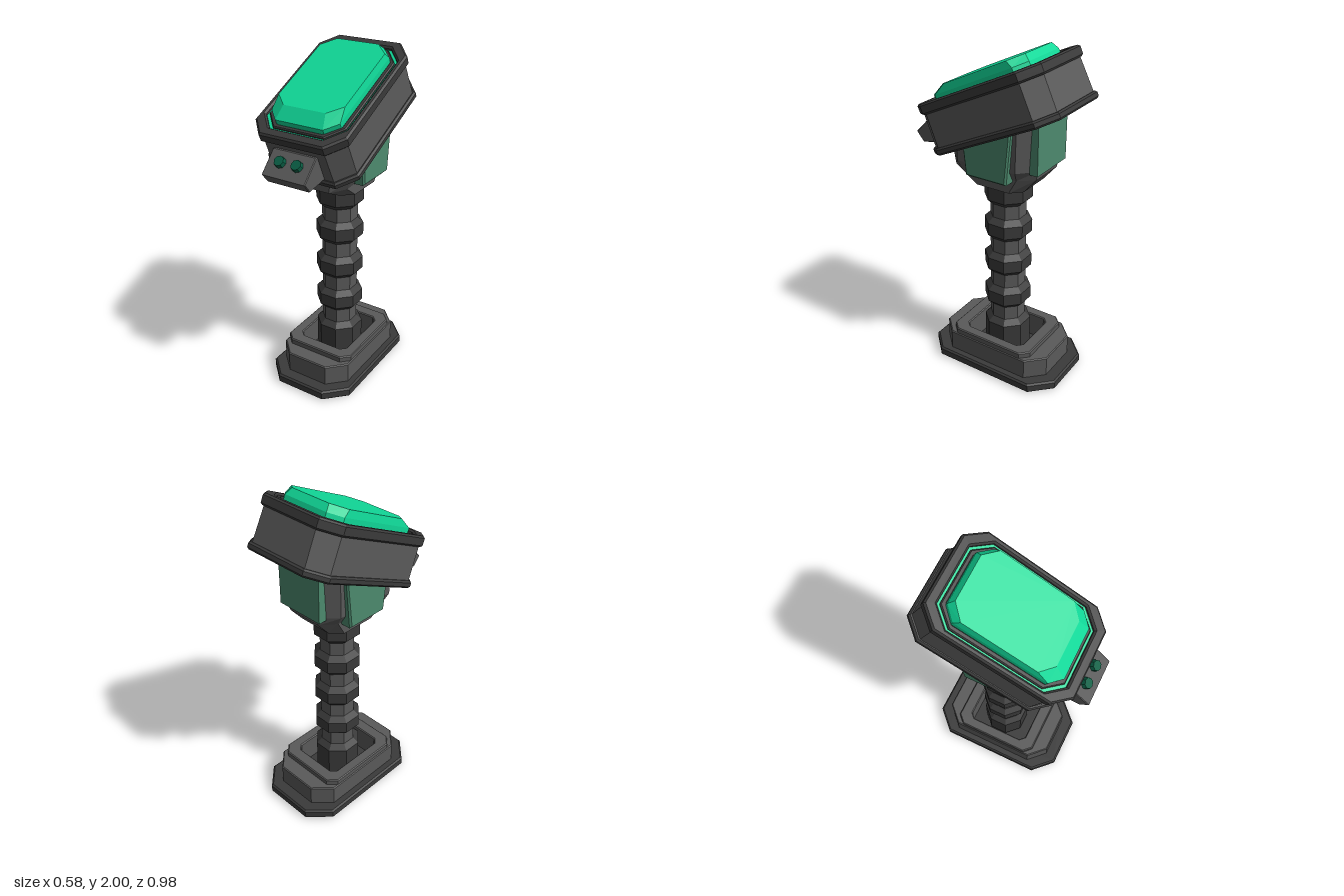
import * as THREE from 'three';

const mat = (color) => new THREE.MeshStandardMaterial({ color, flatShading: true });
const dark = mat(0x3a3a3a), grey = mat(0x5a5a5a), green = mat(0x10d898);
const paleGreen = mat(0x4d8a6e), deepGreen = mat(0x0a5f45);

function add(parent, name, geometry, material) {
  const mesh = new THREE.Mesh(geometry, material);
  mesh.name = name;
  parent.add(mesh);
  return mesh;
}

// Chamfered rectangle as [x, z] pairs, counter-clockwise seen from above
function octagon(hx, zBack, zFront, cx, cz = cx) {
  return [
    [hx, zFront - cz], [hx, zBack + cz], [hx - cx, zBack], [cx - hx, zBack],
    [-hx, zBack + cz], [-hx, zFront - cz], [cx - hx, zFront], [hx - cx, zFront],
  ];
}

// Horizontal slab from y0 to y1, with an optional hole and small bevels
function slab(outer, y0, y1, hole, bevel = 0.01) {
  const toPoints = (o) => o.map(([x, z]) => new THREE.Vector2(x, -z));
  const shape = new THREE.Shape(toPoints(outer));
  if (hole) shape.holes.push(new THREE.Path(toPoints(hole).reverse()));
  const g = new THREE.ExtrudeGeometry(shape, {
    depth: y1 - y0 - 2 * bevel, bevelEnabled: bevel > 0, bevelThickness: bevel,
    bevelSize: bevel, bevelOffset: -bevel, bevelSegments: 1,
  });
  return g.rotateX(-Math.PI / 2).translate(0, y0 + bevel, 0);
}

// Closed solid through octagon sections; each y may be a number or a function of z
function loft(sections) {
  const pos = [], index = [], n = 8;
  for (const [outline, y] of sections) {
    for (const [x, z] of outline) pos.push(x, typeof y === 'function' ? y(z) : y, z);
  }
  for (let s = 0; s < sections.length - 1; s++) {
    for (let i = 0; i < n; i++) {
      const a = s * n + i, b = s * n + (i + 1) % n;
      index.push(a, b, b + n, a, b + n, a + n);
    }
  }
  const top = (sections.length - 1) * n;
  for (let i = 1; i < n - 1; i++) index.push(0, i + 1, i, top, top + i, top + i + 1);
  const g = new THREE.BufferGeometry();
  g.setAttribute('position', new THREE.Float32BufferAttribute(pos, 3));
  g.setIndex(index);
  g.computeVertexNormals();
  return g;
}

// Side profile of [z, y] points, extruded across x and centred on x = 0
function sideProfile(points, width, bevel) {
  const shape = new THREE.Shape(points.map(([z, y]) => new THREE.Vector2(z, y)));
  const g = new THREE.ExtrudeGeometry(shape, {
    depth: width - 2 * bevel, bevelEnabled: true, bevelThickness: bevel,
    bevelSize: bevel, bevelOffset: -bevel, bevelSegments: 1,
  });
  return g.rotateY(-Math.PI / 2).translate(width / 2 - bevel, 0, 0);
}

function buildBase() {
  const base = new THREE.Group();
  base.name = 'base';
  add(base, 'footPlate', slab(octagon(0.275, -0.49, 0.39, 0.12), 0, 0.06), dark);
  const well = octagon(0.16, -0.25, 0.15, 0.03);
  add(base, 'baseBlock', slab(octagon(0.23, -0.415, 0.315, 0.1), 0.05, 0.185, well, 0.006), grey);
  add(base, 'baseRim', slab(octagon(0.225, -0.325, 0.225, 0.05), 0.17, 0.22, well, 0.006), grey);
  return base;
}

function buildPole() {
  const pole = new THREE.Group();
  pole.name = 'pole';
  pole.position.z = -0.053;
  const k = 1 / Math.cos(Math.PI / 8);
  const core = new THREE.CylinderGeometry(0.098 * k, 0.098 * k, 1.18, 8);
  add(pole, 'poleCore', core.rotateY(Math.PI / 8).translate(0, 0.64, 0), grey);
  // Raised collars: [bottom, top]
  for (const [y0, y1] of [[0.06, 0.32], [0.405, 0.55], [0.635, 0.78], [0.865, 1.01], [1.09, 1.26]]) {
    const profile = [[0, y0], [0.096, y0], [0.13, y0 + 0.035], [0.13, y1 - 0.035], [0.096, y1], [0, y1]];
    const g = new THREE.LatheGeometry(profile.map(([r, y]) => new THREE.Vector2(r * k, y)), 8, Math.PI / 8);
    add(pole, 'collar', g, dark);
  }
  return pole;
}

function buildNeck() {
  const neck = new THREE.Group();
  neck.name = 'neck';
  add(neck, 'neckBlock', loft([
    [octagon(0.165, -0.22, 0.11, 0.06), 1.225],
    [octagon(0.168, -0.3, 0.232, 0.06, 0.09), (z) => 1.3 - 0.06 * z],
    [octagon(0.205, -0.31, 0.235, 0.085), (z) => 1.365 - 0.03 * z],
    [octagon(0.21, -0.32, 0.235, 0.085), (z) => 1.55 - 0.45 * z],
  ]), grey);
  // Inset panels on both sides and on the back
  for (const side of [1, -1]) {
    const g = sideProfile([[-0.185, 1.3], [0.075, 1.3], [0.095, 1.48], [-0.215, 1.63]], 0.1, 0.01);
    add(neck, 'sidePanel', g.translate(side * 0.187, 0, 0), paleGreen);
  }
  const back = new THREE.BoxGeometry(0.3, 0.34, 0.05).translate(0, 1.53, -0.305);
  add(neck, 'backPanel', back, paleGreen);
  return neck;
}

function buildHead() {
  const head = new THREE.Group();
  head.name = 'head';
  head.position.set(0, 1.674, -0.028);
  head.rotation.x = THREE.MathUtils.degToRad(25);
  const hole = octagon(0.25, -0.375, 0.372, 0.085, 0.095);
  add(head, 'lowerFlange', slab(octagon(0.292, -0.437, 0.437, 0.09, 0.1), -0.147, -0.105), dark);
  add(head, 'housing', loft([
    [octagon(0.277, -0.422, 0.422, 0.085, 0.095), -0.11],
    [octagon(0.27, -0.418, 0.418, 0.085, 0.095), 0.09],
  ]), grey);
  add(head, 'upperFlange', slab(octagon(0.285, -0.432, 0.432, 0.088, 0.1), 0.085, 0.147, hole), dark);
  // Glowing strip and inner frame around the screen
  const strip = octagon(0.238, -0.362, 0.357, 0.082, 0.092);
  add(head, 'lightStrip', slab(hole, 0.085, 0.125, strip, 0), green);
  add(head, 'innerFrame', slab(strip, 0.08, 0.138, octagon(0.21, -0.335, 0.33, 0.075, 0.07), 0.006), dark);
  add(head, 'screen', loft([
    [octagon(0.212, -0.337, 0.332, 0.065, 0.065), 0.08],
    [octagon(0.212, -0.337, 0.332, 0.065, 0.065), 0.165],
    [octagon(0.205, -0.318, 0.255, 0.075, 0.07), 0.206],
  ]), green);
  return head;
}

function buildButtonPanel() {
  const panel = new THREE.Group();
  panel.name = 'buttonPanel';
  const profile = [[0.26, 1.41], [0.445, 1.38], [0.492, 1.435], [0.385, 1.545], [0.3, 1.56]];
  add(panel, 'buttonHousing', sideProfile(profile, 0.27, 0.004), grey);
  for (const side of [1, -1]) {
    const button = add(panel, 'button', new THREE.CylinderGeometry(0.029, 0.036, 0.045, 8), deepGreen);
    button.position.set(side * 0.053, 1.498, 0.433);
    button.rotation.x = Math.PI / 4;
  }
  return panel;
}

export function createModel() {
  const model = new THREE.Group();
  model.name = 'consolePedestal';
  model.add(buildBase(), buildPole(), buildNeck(), buildHead(), buildButtonPanel());
  return model;
}
